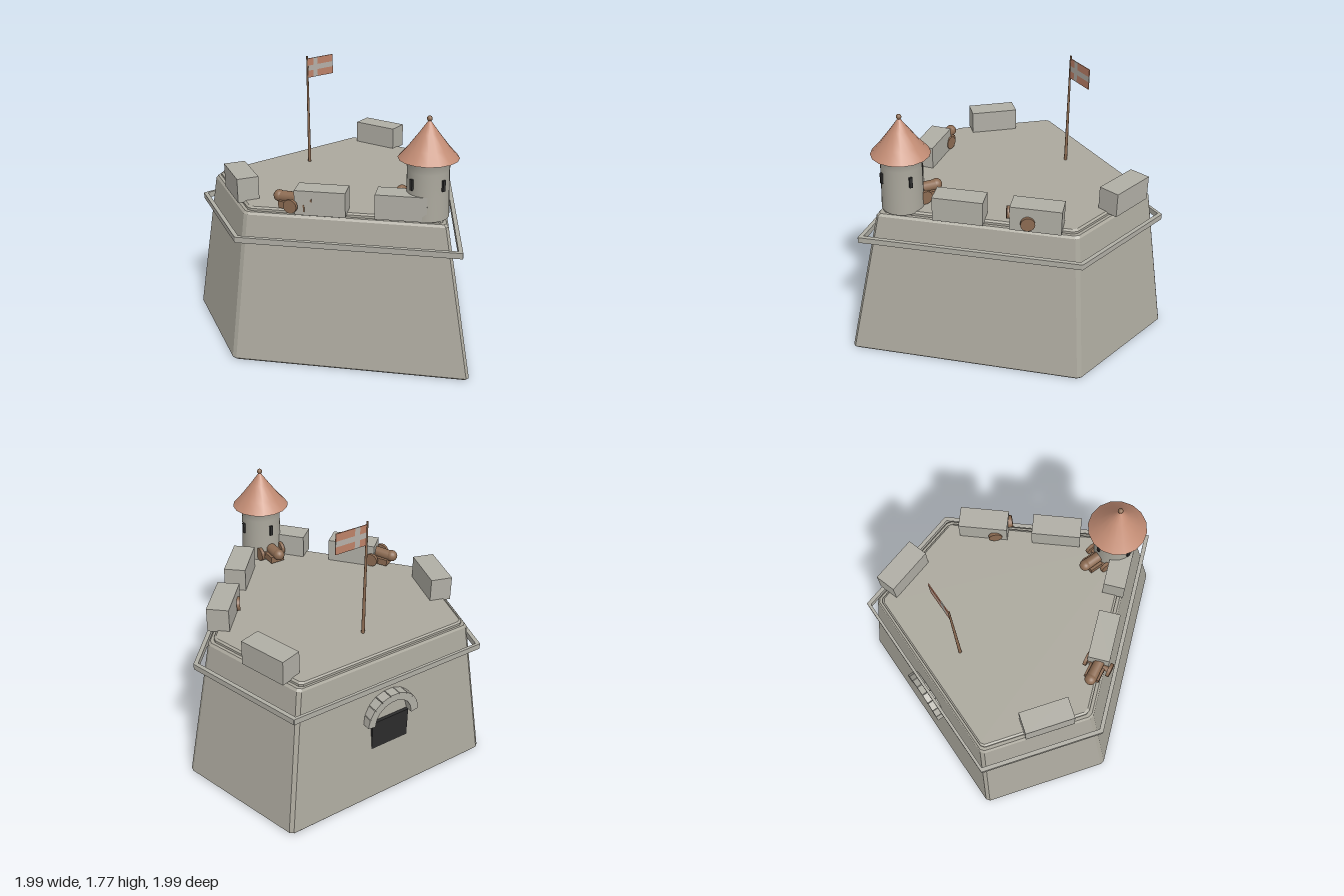
import * as THREE from 'three';

const mat = (name, color, extra = {}) => new THREE.MeshStandardMaterial({ name, color, ...extra });

// Corners of the bastion plan (x, z), tip towards the front
const PLAN = [[0, 1], [1, -0.16], [0.745, -1], [-0.745, -1], [-1, -0.16]];
const PIVOT_Z = -0.38;

// Plan scaled about its pivot, with each corner cut by a small chamfer
function outline(scale, y, chamfer = 0.018) {
  const pts = PLAN.map(([x, z]) => new THREE.Vector3(x * scale, y, PIVOT_Z + (z - PIVOT_Z) * scale));
  return pts.flatMap((p, i) => [pts[(i + 4) % 5], pts[(i + 1) % 5]].map((q) =>
    p.clone().addScaledVector(q.clone().sub(p).normalize(), chamfer)));
}

// Skin a list of [scale, y] outlines, optionally closed at both ends
function loft(sections, capped, chamfer) {
  const rings = sections.map(([s, y]) => outline(s, y, chamfer));
  const tris = [];
  const n = rings[0].length;
  for (let r = 0; r + 1 < rings.length; r++) {
    for (let i = 0; i < n; i++) {
      const j = (i + 1) % n;
      const a = rings[r][i], b = rings[r][j], c = rings[r + 1][j], d = rings[r + 1][i];
      tris.push(a, b, c, a, c, d);
    }
  }
  if (capped) {
    const low = rings[0], high = rings[rings.length - 1];
    for (let i = 1; i + 1 < n; i++) {
      tris.push(low[0], low[i + 1], low[i], high[0], high[i], high[i + 1]);
    }
  }
  const geo = new THREE.BufferGeometry().setFromPoints(tris);
  geo.computeVertexNormals();
  return geo;
}

export function createModel() {
  const stone = mat('stone', 0xaba89d);
  const paleStone = mat('pale stone', 0xb0aea5);
  const tile = mat('roof tile', 0xc28c74);
  const wood = mat('brown wood', 0x8c6b52);
  const dark = mat('dark opening', 0x2c2c2c);
  const cloth = mat('flag red', 0xbd8168);
  const cross = mat('flag cross', 0xb5b0a8);

  const model = new THREE.Group();
  model.name = 'bastion';
  const add = (parent, name, geo, material, x = 0, y = 0, z = 0) => {
    const mesh = new THREE.Mesh(geo, material);
    mesh.name = name;
    mesh.position.set(x, y, z);
    parent.add(mesh);
    return mesh;
  };
  const box = (w, h, d) => new THREE.BoxGeometry(w, h, d);

  // Sloping walls, string course and raised floor
  add(model, 'walls', loft([[0.992, 0], [1, 0.01], [0.836, 0.97], [0.822, 0.985]], true), stone);
  add(model, 'stringCourse',
    loft([[0.9, 0.81], [0.93, 0.81], [0.93, 0.848], [0.9, 0.848], [0.9, 0.81]], false, 0.002), paleStone);
  add(model, 'floor', loft([[0.8, 0.98], [0.8, 1.0], [0.785, 1.01]], true), stone);

  // Merlons: x, z and the angle of the wall they stand on
  const frontAngle = Math.atan2(1.16, 1);
  const sideAngle = Math.atan2(0.84, -0.255);
  const merlons = [
    [0.63, -0.03, frontAngle], [0.31, 0.335, frontAngle],
    [-0.48, 0.14, -frontAngle], [-0.145, 0.51, -frontAngle],
    [0.66, -0.65, sideAngle], [-0.69, -0.45, -sideAngle],
  ];
  for (const [x, z, angle] of merlons) {
    add(model, 'merlon', box(0.32, 0.16, 0.14), paleStone, x, 1.08, z).rotation.y = angle;
  }

  // Corner turret
  const turret = new THREE.Group();
  turret.name = 'turret';
  turret.position.set(0, 1, 0.58);
  model.add(turret);
  const bodyProfile = [[0.136, 0], [0.132, 0.15], [0.13, 0.3], [0.134, 0.34], [0.145, 0.375]];
  add(turret, 'turretBody',
    new THREE.LatheGeometry(bodyProfile.map((p) => new THREE.Vector2(...p)), 32), stone);
  const roofProfile = [[0.188, 0.372], [0.128, 0.44], [0.06, 0.53], [0.005, 0.607]];
  add(turret, 'turretRoof',
    new THREE.LatheGeometry(roofProfile.map((p) => new THREE.Vector2(...p)), 16), tile);
  add(turret, 'roofUnderside', new THREE.CircleGeometry(0.188, 16), tile, 0, 0.372, 0).rotation.x = Math.PI / 2;
  add(turret, 'finial', new THREE.SphereGeometry(0.017, 12, 8), wood, 0, 0.616, 0);
  for (let i = 0; i < 4; i++) {
    const a = i * Math.PI / 2;
    add(turret, 'arrowSlit', box(0.02, 0.07, 0.022), dark,
      0.132 * Math.sin(a), 0.227, 0.132 * Math.cos(a)).rotation.y = a;
  }

  // Cannons, each built pointing along +z
  function cannon(x, z, angle) {
    const g = new THREE.Group();
    g.name = 'cannon';
    g.position.set(x, 1, z);
    g.rotation.y = angle;
    model.add(g);
    add(g, 'carriage', box(0.1, 0.045, 0.18), wood, 0, 0.045, -0.01);
    add(g, 'barrel', new THREE.CylinderGeometry(0.032, 0.036, 0.22, 16), wood, 0, 0.09, 0)
      .rotation.x = Math.PI / 2 - 0.07;
    add(g, 'muzzleRing', new THREE.CylinderGeometry(0.04, 0.04, 0.04, 16), wood, 0, 0.097, 0.105)
      .rotation.x = Math.PI / 2 - 0.07;
    add(g, 'breech', new THREE.SphereGeometry(0.038, 16, 12), wood, 0, 0.085, -0.115);
    add(g, 'axle', new THREE.CylinderGeometry(0.018, 0.018, 0.17, 12), wood, 0, 0.055, 0).rotation.z = Math.PI / 2;
    for (const side of [-1, 1]) {
      add(g, 'wheel', new THREE.CylinderGeometry(0.045, 0.045, 0.022, 20), wood, side * 0.08, 0.06, 0)
        .rotation.z = Math.PI / 2;
    }
  }
  const aim = Math.atan2(0.46, 0.89);
  cannon(0.59, 0.02, -aim);
  cannon(-0.59, 0.02, aim);
  cannon(0, 0.46, 0);

  // Flagpole with a flag split into four fields by a cross
  const flag = new THREE.Group();
  flag.name = 'flag';
  flag.position.set(0, 0, -0.645);
  model.add(flag);
  add(flag, 'flagpole', new THREE.CylinderGeometry(0.006, 0.011, 0.77, 12), wood, 0, 1.385, 0);
  const xs = [0.005, 0.05, 0.085, 0.217];
  const ys = [1.618, 1.667, 1.703, 1.752];
  for (let i = 0; i < 3; i++) {
    for (let j = 0; j < 3; j++) {
      const isCross = i === 1 || j === 1;
      add(flag, isCross ? 'flagCross' : 'flagField', box(xs[i + 1] - xs[i], ys[j + 1] - ys[j], 0.006),
        isCross ? cross : cloth, (xs[i] + xs[i + 1]) / 2, (ys[j] + ys[j + 1]) / 2, 0);
    }
  }

  // Rear gate with an arch of separate stones
  add(model, 'gate', box(0.27, 0.23, 0.06), dark, 0, 0.455, -0.932);
  for (let i = 0; i < 9; i++) {
    const a = (i + 0.5) / 9 * Math.PI;
    add(model, 'archStone', box(0.052, 0.06, 0.065), paleStone,
      0.16 * Math.cos(a), 0.572 + 0.16 * Math.sin(a), -0.9575).rotation.z = a;
  }
  return model;
}
